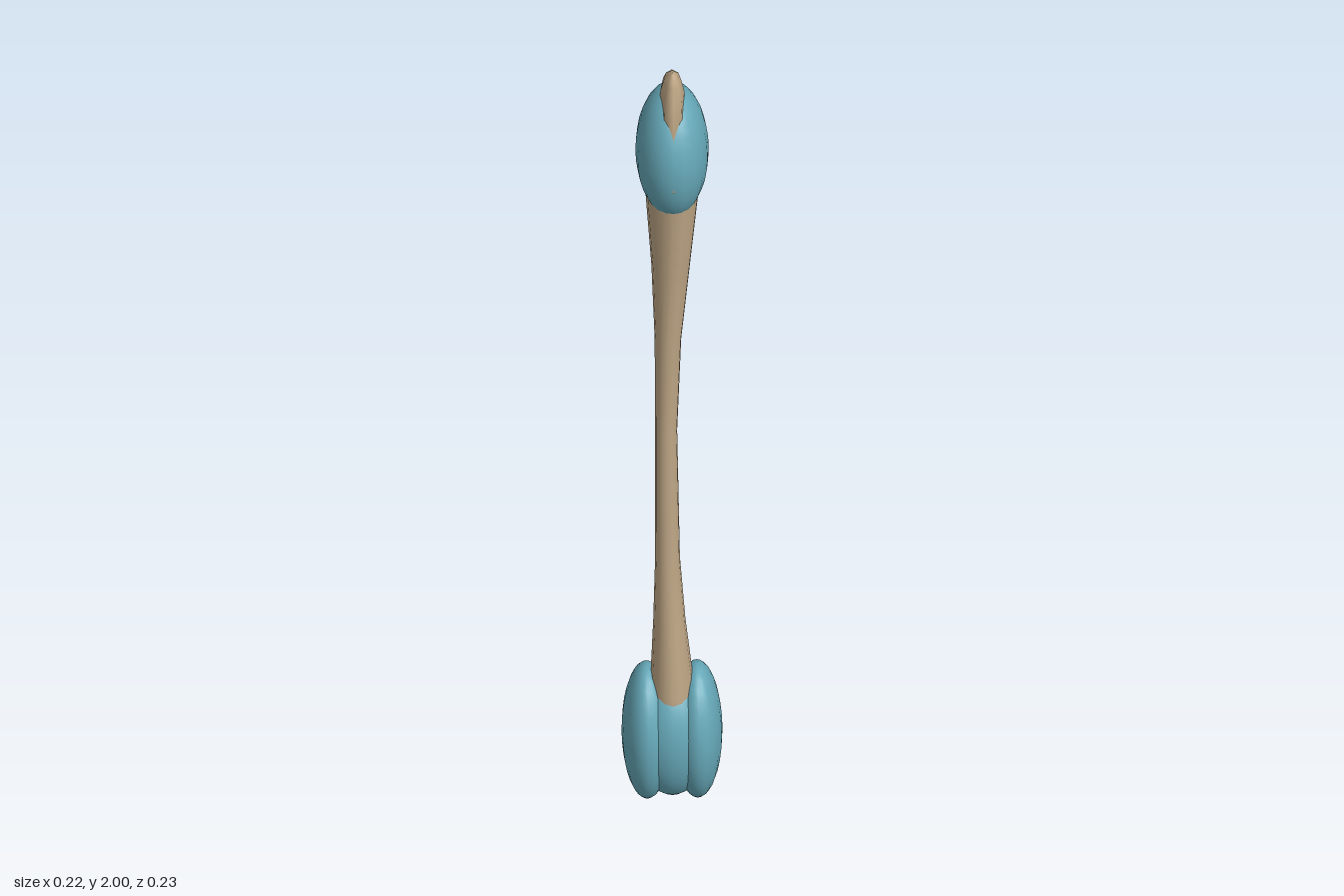
import * as THREE from 'three';

const tan = new THREE.MeshStandardMaterial({ color: 0xbea685 });
const teal = new THREE.MeshStandardMaterial({ color: 0x66a8b8 });

// Skin of elliptical rings, each [y, centreX, centreZ, radiusX, radiusZ], listed bottom to top
function loft(rings, sides) {
  const pos = [], idx = [];
  rings.forEach(([y, cx, cz, rx, rz]) => {
    for (let i = 0; i < sides; i++) {
      const a = (i / sides) * Math.PI * 2;
      pos.push(cx + Math.sin(a) * rx, y, cz + Math.cos(a) * rz);
    }
  });
  for (let r = 0; r < rings.length - 1; r++) {
    for (let i = 0; i < sides; i++) {
      const j = (i + 1) % sides, a = r * sides, b = a + sides;
      idx.push(a + i, a + j, b + j, a + i, b + j, b + i);
    }
  }
  // Close both ends
  [0, rings.length - 1].forEach((r) => {
    const [y, cx, cz] = rings[r], c = pos.length / 3;
    pos.push(cx, y, cz);
    for (let i = 0; i < sides; i++) {
      const a = r * sides + i, b = r * sides + ((i + 1) % sides);
      if (r === 0) idx.push(c, b, a);
      else idx.push(c, a, b);
    }
  });
  const g = new THREE.BufferGeometry();
  g.setAttribute('position', new THREE.Float32BufferAttribute(pos, 3));
  g.setIndex(idx);
  g.computeVertexNormals();
  return g;
}

function ellipsoid(name, x, y, z, rx, ry, rz) {
  const m = new THREE.Mesh(new THREE.SphereGeometry(1, 20, 16), teal);
  m.name = name;
  m.position.set(x, y, z);
  m.scale.set(rx, ry, rz);
  return m;
}

export function createModel() {
  const model = new THREE.Group();
  model.name = 'longBone';

  // Slender shaft, flared at both ends and bowed slightly sideways
  const shaft = new THREE.Mesh(loft([
    [0.22, 0, 0, 0.05, 0.075],
    [0.30, 0, 0, 0.048, 0.071],
    [0.48, -0.006, 0.001, 0.035, 0.048],
    [0.65, -0.01, 0.002, 0.027, 0.033],
    [1.00, -0.013, 0.003, 0.024, 0.029],
    [1.25, -0.009, 0.001, 0.029, 0.036],
    [1.45, -0.003, -0.002, 0.042, 0.06],
    [1.65, 0, -0.004, 0.058, 0.085],
    [1.70, 0, -0.004, 0.06, 0.088],
  ], 16), tan);
  shaft.name = 'shaft';
  model.add(shaft);

  // Upper joint head
  model.add(ellipsoid('upperHead', 0, 1.77, 0, 0.08, 0.165, 0.116));

  // Narrow crest arching over the head, its foot showing at the front
  const crest = new THREE.Mesh(loft([
    [1.735, 0, 0.035, 0.027, 0.081],
    [1.84, 0, 0.011, 0.028, 0.089],
    [1.90, 0, 0.006, 0.028, 0.083],
    [1.94, 0, 0.012, 0.026, 0.062],
    [1.975, 0, 0.022, 0.019, 0.038],
    [1.993, 0, 0.027, 0.009, 0.017],
    [2.00, 0, 0.029, 0.001, 0.002],
  ], 8), tan);
  crest.name = 'crest';
  model.add(crest);

  // Lower joint: one middle lobe between a mirrored pair
  model.add(ellipsoid('middleCondyle', 0, 0.175, -0.003, 0.085, 0.166, 0.104));
  for (const s of [1, -1]) {
    model.add(ellipsoid(s > 0 ? 'leftCondyle' : 'rightCondyle', s * 0.055, 0.172, -0.004, 0.055, 0.172, 0.106));
  }
  return model;
}
